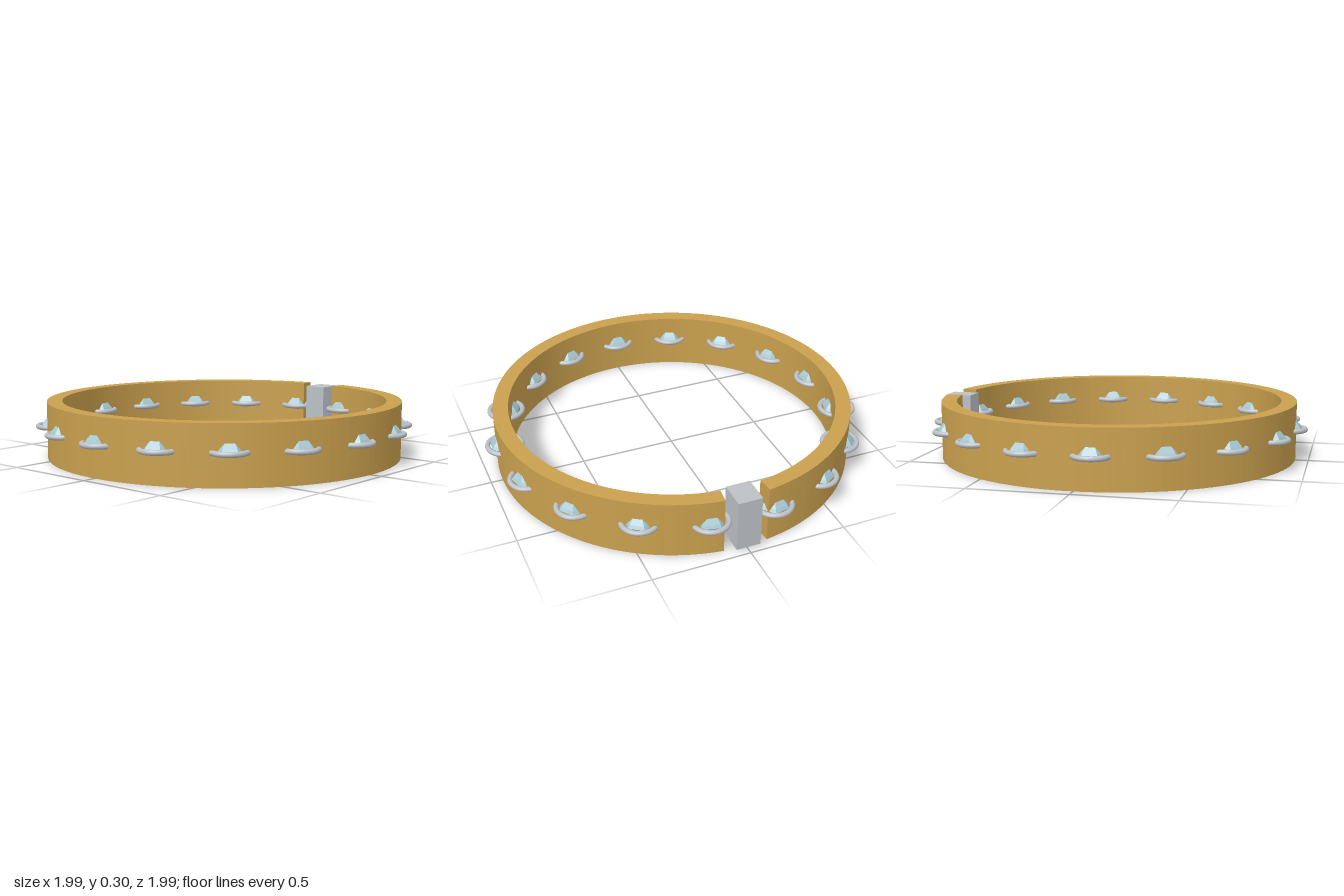
import * as THREE from 'three';

export function createModel() {
  const gold = new THREE.MeshStandardMaterial({ color: 0xc9a04e });
  gold.name = 'gold';
  const silver = new THREE.MeshStandardMaterial({ color: 0xbcc1c6 });
  silver.name = 'silver';
  const paleBlue = new THREE.MeshStandardMaterial({ color: 0xa6c8d2, flatShading: true });
  paleBlue.name = 'pale blue';

  const model = new THREE.Group();
  model.name = 'bangle';
  const add = (parent, name, geometry, material) => {
    const mesh = new THREE.Mesh(geometry, material);
    mesh.name = name;
    parent.add(mesh);
    return mesh;
  };

  const centreX = 0.007, ringRadius = 0.899, height = 0.298, gap = 0.12;

  // Open band: an arc with a gap on the +x side
  const arc = new THREE.Shape();
  arc.absarc(0, 0, ringRadius + 0.04, gap, Math.PI * 2 - gap, false);
  arc.absarc(0, 0, ringRadius - 0.04, Math.PI * 2 - gap, gap, true);
  const bandGeometry = new THREE.ExtrudeGeometry(arc, { depth: height, bevelEnabled: false, curveSegments: 72 });
  bandGeometry.rotateX(-Math.PI / 2);
  add(model, 'band', bandGeometry, gold).position.x = centreX;

  // Clasp block standing in the gap
  const clasp = add(model, 'clasp', new THREE.BoxGeometry(0.143, 0.272, 0.124), silver);
  clasp.position.set(0.902, height / 2 + 0.003, 0);

  // Cut stone (point, girdle, table) and its round setting
  const stoneProfile = [[0, -0.042], [0.05, -0.02], [0.079, 0.004], [0.068, 0.02], [0.044, 0.047], [0, 0.047]]
    .map(([r, y]) => new THREE.Vector2(r, y));
  const stoneGeometry = new THREE.LatheGeometry(stoneProfile, 6);
  const settingGeometry = new THREE.TorusGeometry(0.088, 0.0135, 10, 32).rotateX(Math.PI / 2);

  // Seventeen stones evenly around the band, none in the gap
  const count = 17;
  for (let i = 0; i < count; i++) {
    const angle = Math.PI + (i * Math.PI * 2) / count;
    const jewel = new THREE.Group();
    jewel.name = 'jewel' + (i + 1);
    jewel.position.set(centreX + Math.cos(angle) * ringRadius, 0.162, Math.sin(angle) * ringRadius);
    jewel.rotation.y = -angle;
    add(jewel, 'stone', stoneGeometry, paleBlue);
    add(jewel, 'setting', settingGeometry, silver);
    model.add(jewel);
  }
  return model;
}
